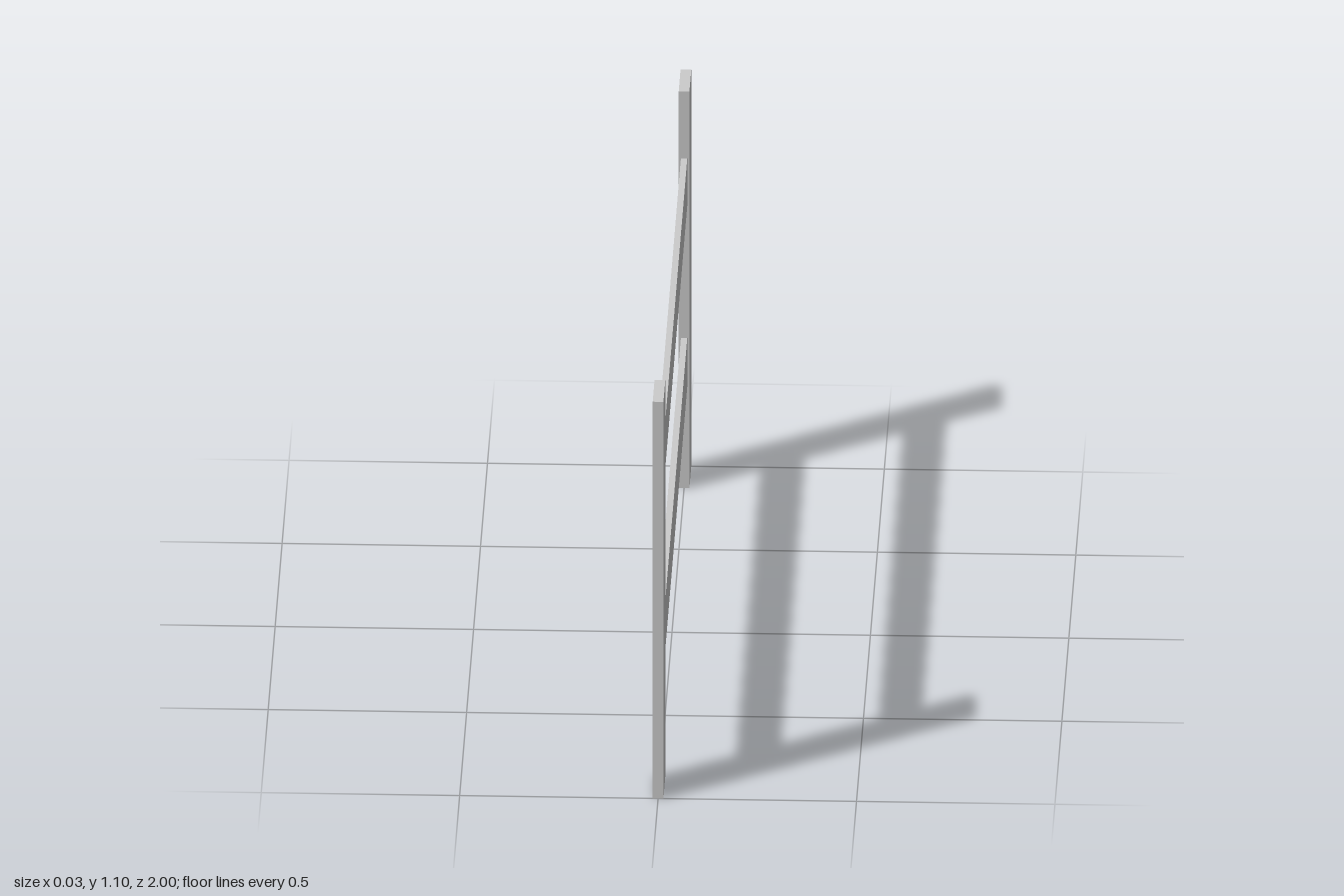
import * as THREE from 'three';

const material = new THREE.MeshStandardMaterial({ color: 0xcccccc, flatShading: true, side: THREE.DoubleSide });

// Box without the listed sides (0..5 = +x, -x, +y, -y, +z, -z)
function openBox(w, h, d, openSides) {
  const geometry = new THREE.BoxGeometry(w, h, d);
  const index = Array.from(geometry.index.array);
  geometry.setIndex(index.filter((_, i) => !openSides.includes(Math.floor(i / 6))));
  geometry.clearGroups();
  return geometry;
}

export function createModel() {
  const fence = new THREE.Group();
  fence.name = 'fence';

  const postHeight = 1.1, postWidth = 0.132, postDepth = 0.027, railDepth = 0.016;

  const add = (name, geometry, y, z) => {
    const mesh = new THREE.Mesh(geometry, material);
    mesh.name = name;
    mesh.position.set(0, y, z);
    fence.add(mesh);
  };

  // Upright planks at both ends, open underneath
  const postGeometry = openBox(postDepth, postHeight, postWidth, [3]);
  for (const [name, side] of [['frontPost', 1], ['backPost', -1]]) {
    add(name, postGeometry, postHeight / 2, side * (1 - postWidth / 2));
  }

  // Thin rails running between the posts, butting against them
  const railLength = 2 - 2 * postWidth;
  for (const [name, bottom, top] of [['lowerRail', 0.28, 0.416], ['upperRail', 0.783, 0.914]]) {
    add(name, openBox(railDepth, top - bottom, railLength, [4, 5]), (top + bottom) / 2, 0);
  }

  return fence;
}
